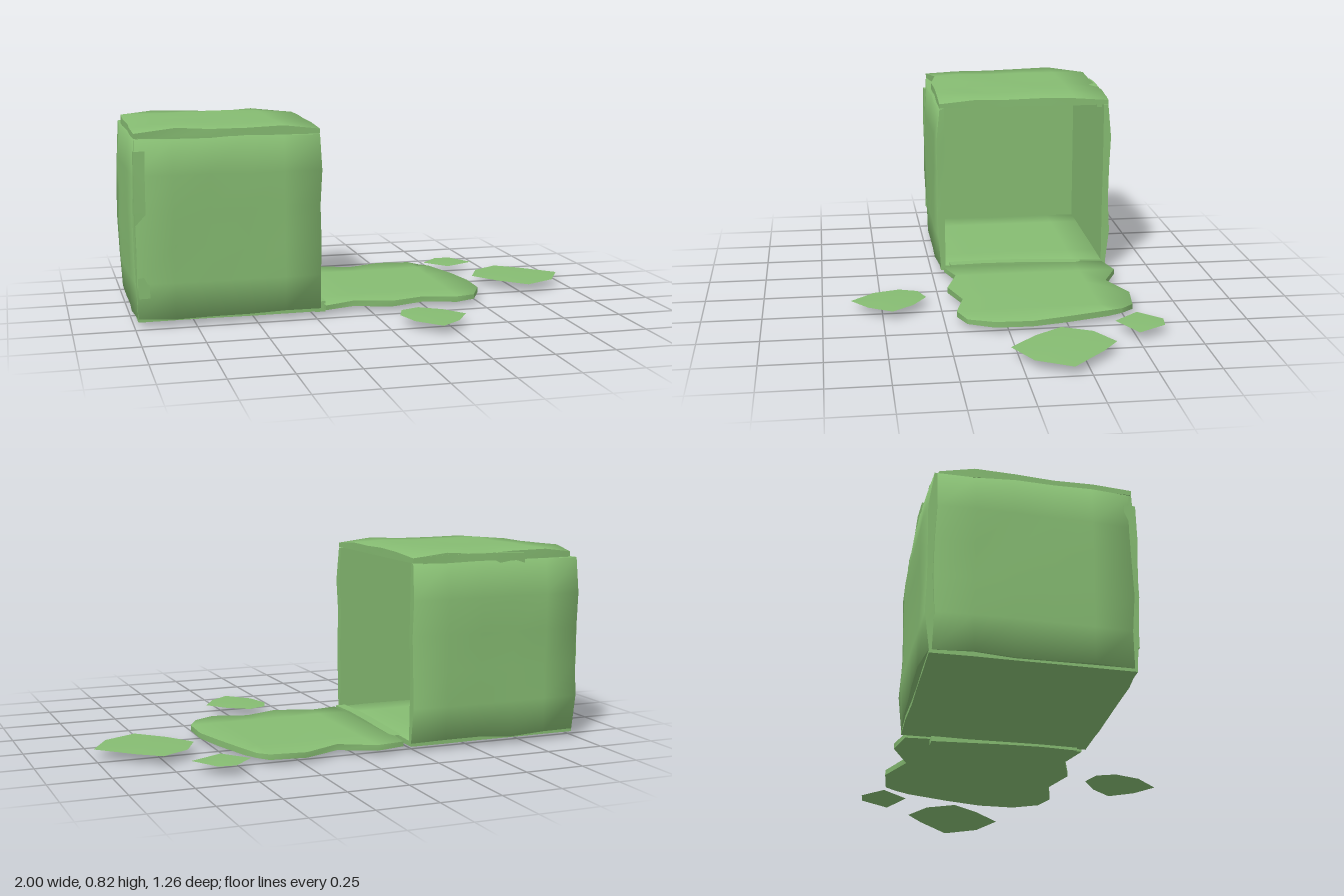
import * as THREE from 'three';

const green = new THREE.MeshStandardMaterial({ color: 0x86bc72, side: THREE.DoubleSide });
const N = 5; // grid cells along each panel edge

function seeded(seed) {
  let s = seed * 7919 + 17;
  return () => ((s = (s * 16807) % 2147483647) / 2147483647);
}

// Thin battered square panel: flat inner face, pillowed outer face (+z), ragged outline.
// edges optionally gives in-plane offsets keyed by grid position "i,j".
function panel(name, { w = 0.76, h = 0.76, seed = 1, bulge = 0.02, wave = 0.006, edges = {} }) {
  const t = 0.02, rnd = seeded(seed);
  const moves = [];
  for (let k = 0; k < (N + 1) ** 2; k++) moves.push([rnd() - 0.5, rnd() - 0.5, rnd()]);
  const geo = new THREE.BoxGeometry(w, h, t, N, N, 1);
  const p = geo.attributes.position;
  const rims = [];
  for (let k = 0; k < p.count; k++) {
    const x = p.getX(k), y = p.getY(k), z = p.getZ(k);
    const i = Math.round((x / w + 0.5) * N), j = Math.round((y / h + 0.5) * N);
    const m = moves[j * (N + 1) + i];
    const sx = i === 0 ? -1 : i === N ? 1 : 0, sy = j === 0 ? -1 : j === N ? 1 : 0;
    const e = edges[i + ',' + j] || [0, 0];
    const corner = sx && sy;
    const lift = corner ? 0 : bulge * (sx || sy ? 0.25 + 0.5 * m[2] : 0.6 + 0.4 * m[2]);
    p.setXYZ(k, x + e[0] + (corner ? 0 : sx * sx * m[0] * wave * 2),
      y + e[1] + (corner ? 0 : sy * sy * m[1] * wave * 2), z > 0 ? z + lift : z);
    rims.push([sx, sy]);
  }
  geo.computeVertexNormals();
  // soften the rim of the outer face
  const n = geo.attributes.normal, v = new THREE.Vector3();
  for (let k = 0; k < n.count; k++) {
    v.fromBufferAttribute(n, k);
    if (v.z < 0.5) continue;
    v.x += rims[k][0] * 0.7;
    v.y += rims[k][1] * 0.7;
    v.normalize();
    n.setXYZ(k, v.x, v.y, v.z);
  }
  const mesh = new THREE.Mesh(geo, green);
  mesh.name = name;
  return mesh;
}

// Slightly bent bar laid along a box edge
function strip(name, length, axis, at, tilt) {
  const geo = new THREE.BoxGeometry(length, 0.045, 0.045, 4, 1, 1);
  const p = geo.attributes.position;
  for (let k = 0; k < p.count; k++) {
    const s = p.getX(k) / length * 2;
    p.setY(k, p.getY(k) + 0.006 * (1 - s * s) - 0.003);
    p.setZ(k, p.getZ(k) + 0.004 * Math.sin(s * 3));
  }
  geo.computeVertexNormals();
  const mesh = new THREE.Mesh(geo, green);
  mesh.name = name;
  if (axis === 'y') mesh.rotation.set(0, 0, Math.PI / 2 + tilt);
  if (axis === 'z') mesh.rotation.set(0, Math.PI / 2, tilt);
  if (axis === 'x') mesh.rotation.set(0, tilt, 0);
  mesh.position.set(...at);
  return mesh;
}

// Loose flake on the ground: a very shallow fan over its outline
function flake(name, outline) {
  const c = [0, 0];
  outline.forEach(([x, z]) => { c[0] += x / outline.length; c[1] += z / outline.length; });
  const pos = [c[0], 0.052, c[1]], index = [];
  outline.forEach(([x, z], k) => {
    pos.push(x, 0.046, z);
    index.push(0, 1 + (k + 1) % outline.length, 1 + k);
  });
  const geo = new THREE.BufferGeometry();
  geo.setAttribute('position', new THREE.Float32BufferAttribute(pos, 3));
  geo.setIndex(index);
  geo.computeVertexNormals();
  const mesh = new THREE.Mesh(geo, green);
  mesh.name = name;
  return mesh;
}

export function createModel() {
  const model = new THREE.Group();
  model.name = 'brokenBox';
  const cx = -0.605, cy = 0.41, cz = -0.17;
  const add = (mesh, pos, rot = [0, 0, 0]) => {
    mesh.position.set(...pos);
    mesh.rotation.set(...rot);
    model.add(mesh);
  };
  const flat = [-Math.PI / 2, 0, 0];

  // Box panels, open on the +x side
  add(panel('frontWall', { h: 0.735, seed: 3, bulge: 0.022 }), [cx, cy, 0.2]);
  add(panel('backWall', { h: 0.735, seed: 8, bulge: 0.028 }), [cx, cy, -0.54], [0, Math.PI, 0]);
  add(panel('sideWall', { w: 0.74, h: 0.735, seed: 5 }), [-0.975, cy, cz], [0, -Math.PI / 2, 0]);
  add(panel('floor', { seed: 11, bulge: 0.006, wave: 0.003 }), [cx, 0.04, cz], flat);
  add(panel('topPanel', { seed: 14, bulge: 0.024, edges: { '1,0': [0.02, 0.025], '0,5': [0.02, -0.02] } }),
    [cx, 0.79, cz], flat);

  // Fallen side with its ragged outline
  const edges = {
    '0,0': [0.01, 0.01], '1,0': [-0.01, 0.05], '3,0': [0, 0.05], '4,0': [0, 0.01], '5,0': [-0.06, 0.045],
    '5,2': [0, 0], '5,3': [-0.03, 0], '5,4': [-0.08, 0.03], '5,5': [-0.11, -0.06],
    '0,5': [0.01, -0.02], '1,5': [-0.01, 0.01], '2,5': [-0.01, -0.06], '3,5': [0, 0.01], '4,5': [0, -0.01],
    '5,1': [-0.005, 0],
  };
  add(panel('fallenSide', { w: 0.74, seed: 21, bulge: 0.008, wave: 0, edges }), [0.16, 0.04, cz], flat);

  // Edge strips and hinge
  model.add(strip('cornerStrip', 0.6, 'y', [-0.965, 0.43, 0.2], 0.015));
  model.add(strip('topStrip', 0.46, 'x', [-0.5, 0.785, -0.535], -0.02));
  model.add(strip('hingeStrip', 0.6, 'z', [-0.217, 0.038, -0.13], -0.015));

  // Scattered flakes
  model.add(flake('smallFlake', [[0.55, -0.63], [0.62, -0.62], [0.69, -0.5], [0.55, -0.43], [0.46, -0.54]]));
  model.add(flake('largeFlake', [[0.77, -0.39], [0.86, -0.32], [1, -0.18], [0.92, -0.04],
    [0.78, 0.03], [0.67, -0.08], [0.59, -0.2], [0.65, -0.32]]));
  model.add(flake('frontFlake', [[0.17, 0.31], [0.26, 0.37], [0.33, 0.46], [0.27, 0.56],
    [0.18, 0.63], [0.09, 0.53], [0.06, 0.42], [0.09, 0.34]]));
  return model;
}
